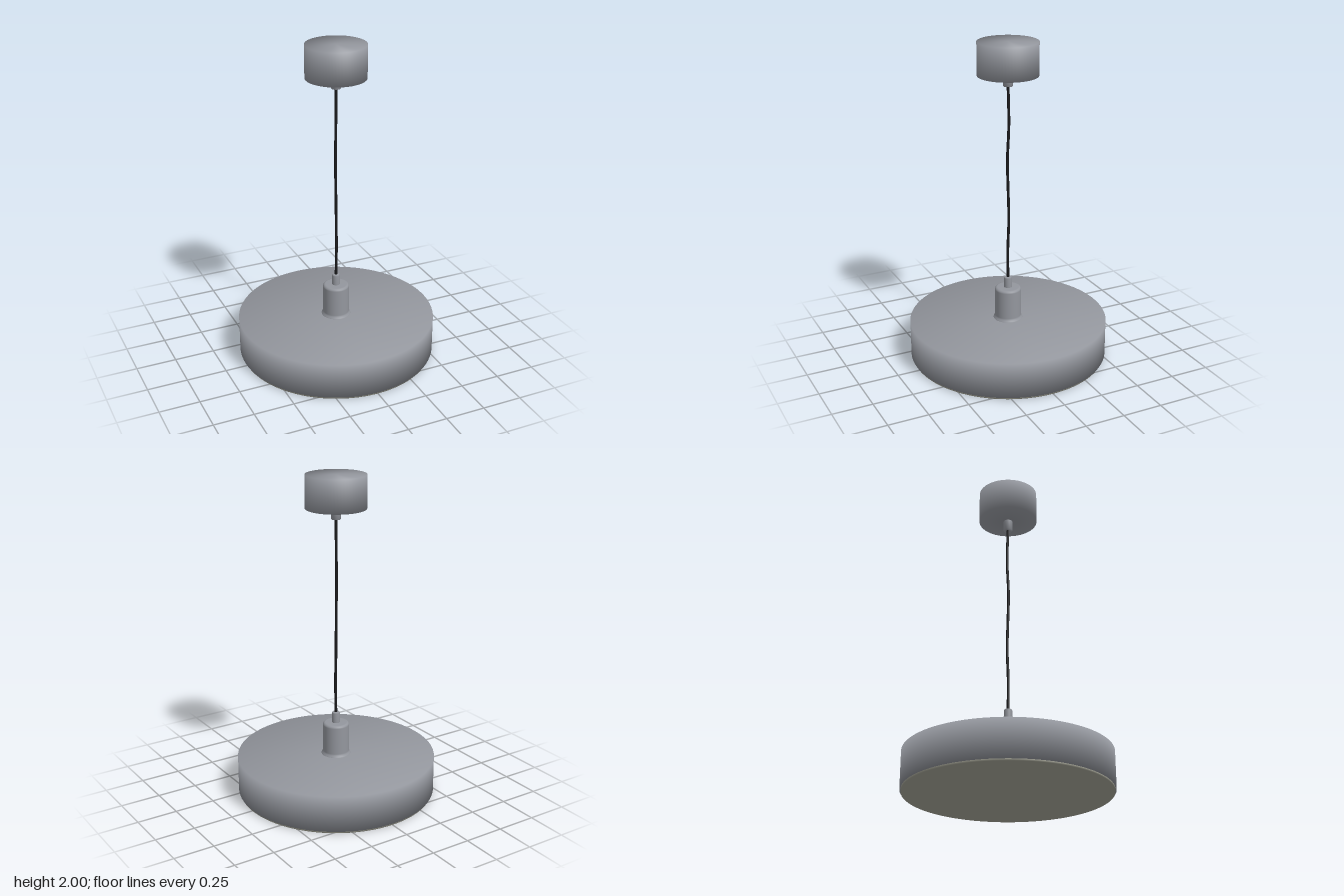
import * as THREE from 'three';

const metal = new THREE.MeshStandardMaterial({ color: 0x93969d });
metal.name = 'grey metal';
const black = new THREE.MeshStandardMaterial({ color: 0x1a1a1c });
black.name = 'black cord';
const cream = new THREE.MeshStandardMaterial({ color: 0xa4a496 });
cream.name = 'warm diffuser';

// Solid of revolution from [radius, height] pairs, listed bottom to top
function turned(name, profile, material, segments = 96) {
  const points = profile.map(([r, y]) => new THREE.Vector2(r, y));
  const mesh = new THREE.Mesh(new THREE.LatheGeometry(points, segments), material);
  mesh.name = name;
  return mesh;
}

export function createModel() {
  const lamp = new THREE.Group();
  lamp.name = 'pendantLamp';

  // Wide flat drum shade with softly shaded edges, and the disc closing it below
  lamp.add(turned('shade', [[0, 0.012], [0.617, 0.012], [0.617, 0.238], [0, 0.238]], metal));
  lamp.add(turned('diffuser', [[0, 0], [0.61, 0], [0.61, 0.012]], cream));

  // Lamp holder: flared foot, cylinder with a rounded shoulder
  lamp.add(turned('socket', [
    [0.092, 0.236], [0.09, 0.243], [0.083, 0.25], [0.082, 0.26],
    [0.082, 0.43], [0.08, 0.438], [0.074, 0.444], [0.066, 0.446], [0, 0.446],
  ], metal, 48));
  lamp.add(turned('cordGrip', [
    [0.025, 0.44], [0.025, 0.508], [0.021, 0.514], [0, 0.514],
  ], metal, 32));

  // Slightly wavy cord
  const path = new THREE.CatmullRomCurve3([
    [0, 0.5, 0], [0.002, 0.7, 0.002], [0.003, 0.9, -0.004], [-0.001, 1.1, -0.001],
    [-0.004, 1.27, 0.002], [0.001, 1.5, -0.005], [0, 1.76, 0],
  ].map((p) => new THREE.Vector3(...p)));
  const cord = new THREE.Mesh(new THREE.TubeGeometry(path, 48, 0.0085, 12), black);
  cord.name = 'cord';
  lamp.add(cord);

  // Ceiling cup and its cord sleeve
  lamp.add(turned('ceilingSleeve', [[0, 1.735], [0.028, 1.735], [0.028, 1.802]], metal, 32));
  lamp.add(turned('ceilingCup', [[0, 1.8], [0.183, 1.8], [0.183, 2], [0, 2]], metal, 64));

  return lamp;
}
